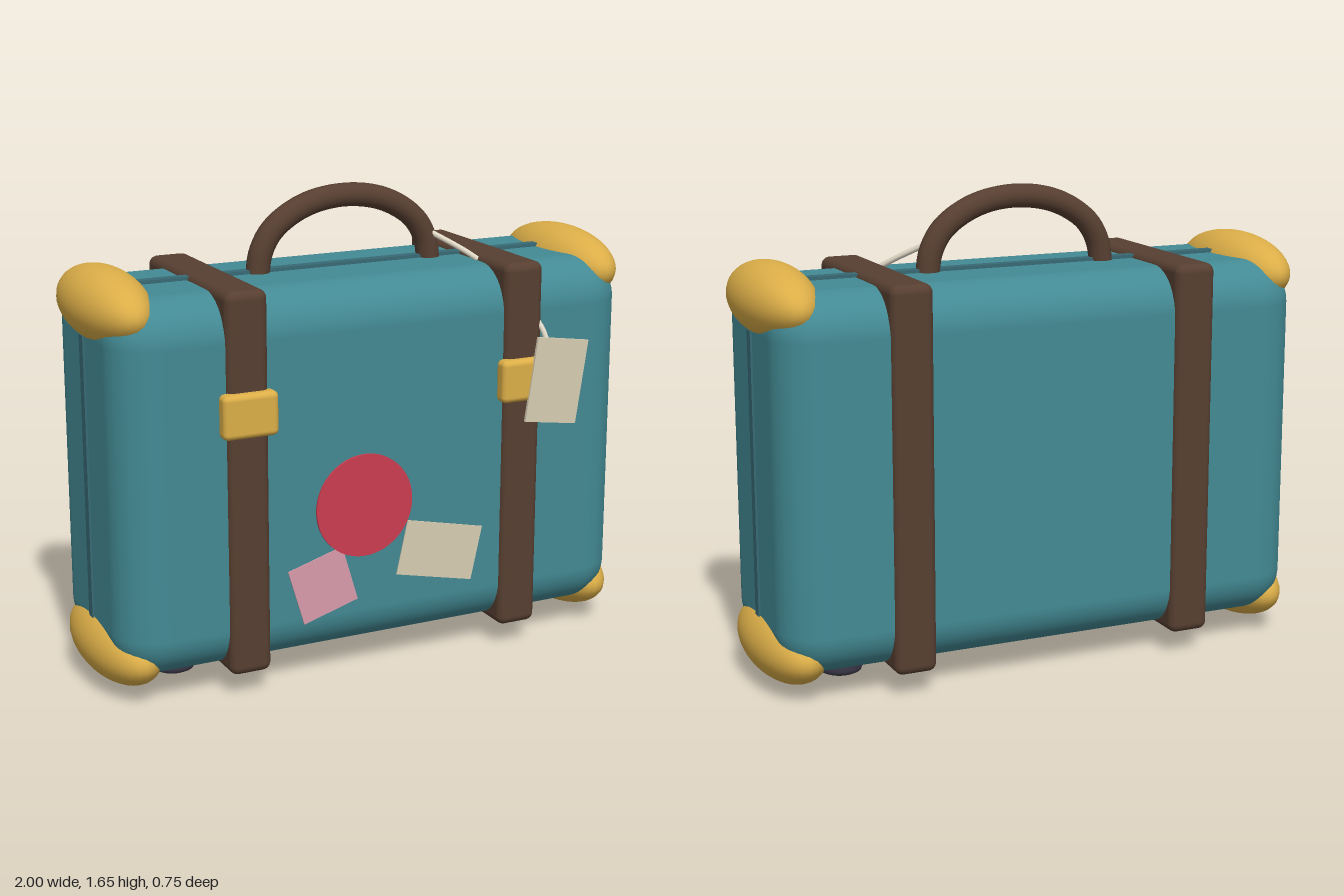
import * as THREE from 'three';
import { RoundedBoxGeometry } from 'three/addons/geometries/RoundedBoxGeometry.js';

const paint = (name, color) => {
  const m = new THREE.MeshStandardMaterial({ color });
  m.name = name;
  return m;
};

export function createModel() {
  const teal = paint('teal shell', 0x438a94);
  const darkTeal = paint('dark teal seam', 0x386a75);
  const brown = paint('brown leather', 0x573f31);
  const gold = paint('gold', 0xdcae48);
  const charcoal = paint('charcoal rubber', 0x3d3a4a);
  const red = paint('red sticker', 0xcb3d4f);
  const pink = paint('pink sticker', 0xd99bab);
  const cream = paint('cream paper', 0xd8cdb3);
  const ivory = paint('ivory string', 0xe2dac8);

  const model = new THREE.Group();
  model.name = 'suitcase';
  const add = (name, geometry, material, x = 0, y = 0, z = 0, turn = 0) => {
    const mesh = new THREE.Mesh(geometry, material);
    mesh.name = name;
    mesh.position.set(x, y, z);
    mesh.rotation.z = turn;
    model.add(mesh);
    return mesh;
  };
  const midY = 0.73, midZ = -0.02;

  // Shell
  add('body', new RoundedBoxGeometry(1.9, 1.28, 0.67, 8, 0.15), teal, 0, midY, midZ);

  // Raised seam strips round the middle of the shell
  for (const s of [-1, 1]) {
    add('seamStrip', new THREE.BoxGeometry(1.56, 0.03, 0.035), darkTeal, 0, midY + s * 0.637, midZ);
    add('seamSide', new THREE.BoxGeometry(0.03, 0.98, 0.035), darkTeal, s * 0.942, midY, midZ);
  }

  // Straps, buckles, feet and corner guards, mirrored
  const footProfile = [[0, 0], [0.06, 0], [0.072, 0.006], [0.077, 0.02], [0.087, 0.12], [0, 0.12]]
    .map(([r, y]) => new THREE.Vector2(r, y));
  for (const s of [-1, 1]) {
    add('strap', new RoundedBoxGeometry(0.148, 1.31, 0.71, 4, 0.03), brown, s * 0.515, 0.735, midZ);
    add('buckle', new RoundedBoxGeometry(0.195, 0.15, 0.06, 4, 0.02), gold, s * 0.517, 0.985, 0.335);
    add('foot', new THREE.LatheGeometry(footProfile, 28), charcoal, s * 0.665, 0, midZ);
    for (const y of [0.145, 1.315]) {
      const guard = add('cornerGuard', new THREE.SphereGeometry(0.125, 32, 24), gold, s * 0.872, y, midZ);
      guard.scale.set(1.02, 1, 2.5);
    }
  }

  // Arched handle
  const arch = new THREE.CatmullRomCurve3([
    [-0.328, 1.35], [-0.312, 1.44], [-0.265, 1.515], [-0.15, 1.585], [0, 1.61],
    [0.15, 1.585], [0.265, 1.515], [0.312, 1.44], [0.328, 1.35],
  ].map(([x, y]) => new THREE.Vector3(x, y, midZ)));
  add('handle', new THREE.TubeGeometry(arch, 48, 0.041, 16), brown);

  // Stickers on the front face
  add('pinkSticker', new THREE.BoxGeometry(0.21, 0.205, 0.006), pink, -0.245, 0.346, 0.316, 0.29);
  add('creamSticker', new THREE.BoxGeometry(0.3, 0.195, 0.006), cream, 0.202, 0.403, 0.316, -0.22);
  const disc = new THREE.CylinderGeometry(0.18, 0.18, 0.008, 48).rotateX(Math.PI / 2);
  add('roundSticker', disc, red, -0.09, 0.61, 0.319);

  // Luggage tag on its string
  add('tag', new THREE.BoxGeometry(0.205, 0.298, 0.01), cream, 0.628, 0.973, 0.366, -0.15);
  const string = new THREE.CatmullRomCurve3([
    [0.3, 1.475, -0.02], [0.45, 1.37, 0.12], [0.55, 1.24, 0.25], [0.585, 1.155, 0.335], [0.597, 1.09, 0.362],
  ].map((p) => new THREE.Vector3(...p)));
  add('tagString', new THREE.TubeGeometry(string, 32, 0.01, 8), ivory);

  return model;
}
